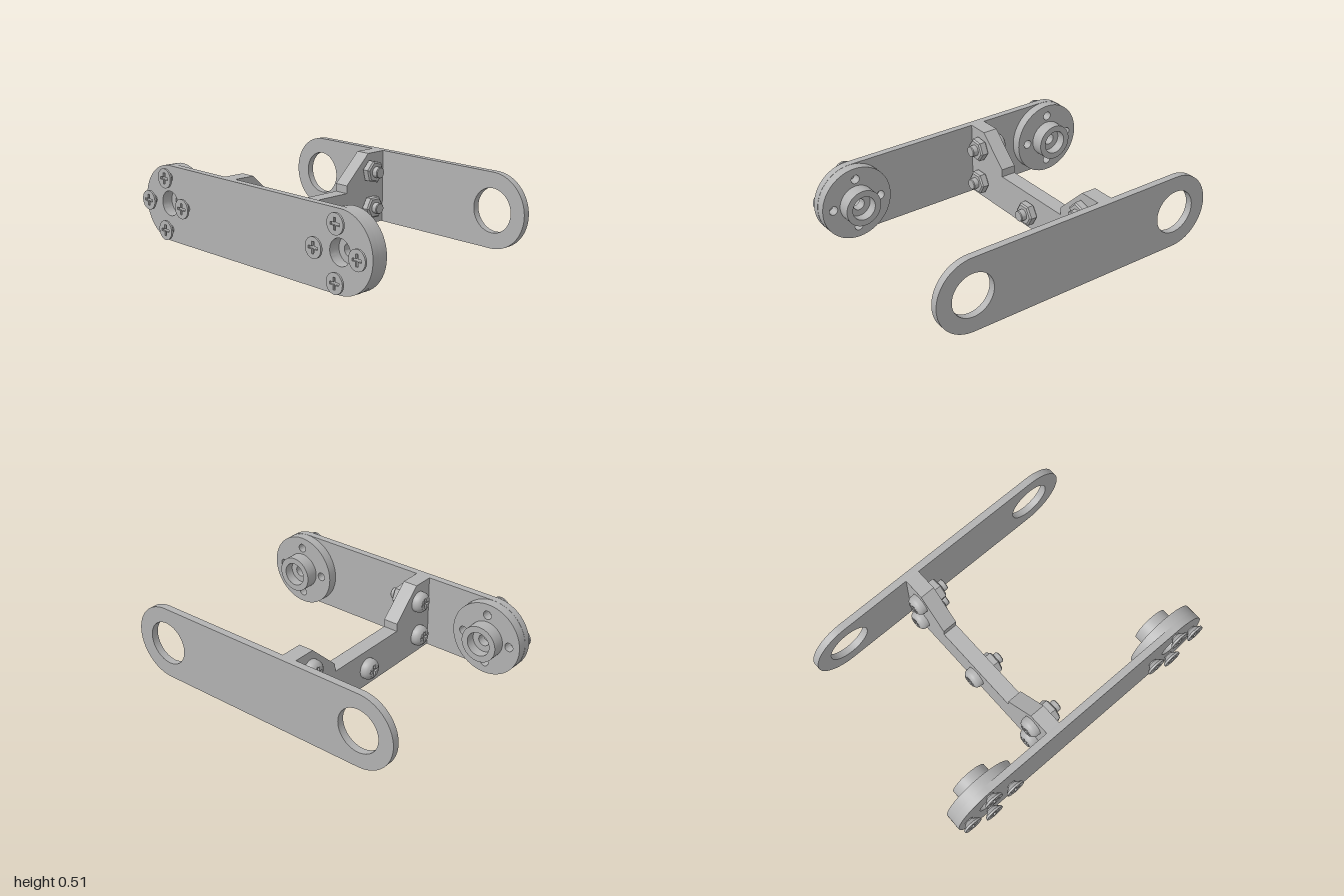
import * as THREE from 'three';
import { toCreasedNormals } from 'three/addons/utils/BufferGeometryUtils.js';

const R = 0.245;      // end radius of the plates
const CX = 0.755;     // distance of the plate ends from the middle
const WEB_X = -0.22;  // centre of the connecting web
const steel = new THREE.MeshStandardMaterial({ color: 0xb2b2b2 });
steel.name = 'steel grey';

function mesh(name, geometry, parent) {
  const m = new THREE.Mesh(toCreasedNormals(geometry, 0.6), steel);
  m.name = name;
  parent.add(m);
  return m;
}

function circle(x, y, r, Type = THREE.Path) {
  return new Type().absarc(x, y, r, 0, Math.PI * 2, false);
}

// Flat outline with holes, spanning z0 to z1
function slab(shape, holes, z0, z1) {
  shape.holes.push(...holes);
  return new THREE.ExtrudeGeometry(shape, { depth: z1 - z0, bevelEnabled: false, curveSegments: 24 })
    .translate(0, 0, z0);
}

// Turned part about the z axis, profile as [radius, z] pairs
function turned(profile, segments = 32) {
  const pts = profile.map(([r, z]) => new THREE.Vector2(r, z));
  return new THREE.LatheGeometry(pts, segments).rotateX(Math.PI / 2);
}

function stadium() {
  const s = new THREE.Shape();
  s.absarc(CX, 0, R, -Math.PI / 2, Math.PI / 2, false);
  s.absarc(-CX, 0, R, Math.PI / 2, Math.PI * 1.5, false);
  s.closePath();
  return s;
}

// Plus-shaped driver recess
function cross(l, w) {
  const p = [];
  for (let i = 0; i < 4; i++) {
    for (const [x, y] of [[l, -w], [l, w], [w, w]]) {
      p.push(new THREE.Vector2(x, y).rotateAround(new THREE.Vector2(), i * Math.PI / 2));
    }
  }
  return new THREE.Path(p);
}

// Four points around a hub
const ring = [0, 1, 2, 3].map(i => [
  0.168 * Math.round(Math.cos(i * Math.PI / 2)),
  0.168 * Math.round(Math.sin(i * Math.PI / 2)),
]);

// Countersunk screw standing proud of the front plate
function hubScrew(x, y) {
  const g = new THREE.Group();
  g.name = 'hubScrew';
  g.position.set(x, y, 0);
  mesh('screwBody', turned([[0, 0.626], [0.029, 0.626], [0.029, 0.678], [0.063, 0.703], [0, 0.703]]), g);
  mesh('screwFace', slab(circle(0, 0, 0.063, THREE.Shape), [cross(0.036, 0.0085)], 0.703, 0.716), g);
  return g;
}

// Round flanged hub with boss and stepped bore
function hub(x) {
  const g = new THREE.Group();
  g.name = 'hub';
  g.position.x = x;
  const holes = ring.map(([a, b]) => circle(a, b, 0.029));
  mesh('flange', slab(circle(0, 0, R - 0.001, THREE.Shape), [circle(0, 0, 0.08), ...holes], 0.562, 0.626), g);
  mesh('boss', slab(circle(0, 0, 0.122, THREE.Shape), [circle(0, 0, 0.08)], 0.475, 0.564), g);
  mesh('boreStep', slab(circle(0, 0, 0.081, THREE.Shape), [circle(0, 0, 0.038)], 0.54, 0.6), g);
  ring.forEach(([a, b]) => g.add(hubScrew(a, b)));
  return g;
}

// Pan-head bolt through the web with a hex nut on the left side
function webBolt(y, z, turn) {
  const g = new THREE.Group();
  g.name = 'webBolt';
  g.position.set(WEB_X, y, z);
  g.rotation.y = -Math.PI / 2;
  mesh('boltHead', turned([[0, 0.048], [0.068, 0.048], [0.068, 0.075], [0.064, 0.088],
    [0.056, 0.099], [0.042, 0.108], [0.042, 0.094], [0, 0.094]]), g);
  mesh('boltFace', slab(circle(0, 0, 0.042, THREE.Shape), [cross(0.036, 0.0085)], 0.094, 0.109), g);
  mesh('boltShank', turned([[0, -0.146], [0.033, -0.146], [0.037, -0.141], [0.037, 0.05]]), g);
  const nut = mesh('nut', turned([[0, -0.107], [0.066, -0.107], [0.078, -0.098], [0.078, -0.058],
    [0.066, -0.049], [0, -0.049]], 6), g);
  nut.rotation.z = Math.PI / 6 + turn;
  return g;
}

export function createModel() {
  const model = new THREE.Group();
  model.name = 'bracketFrame';
  const body = new THREE.Group();
  body.name = 'frame';
  body.position.y = 0.253;
  body.rotation.z = -0.0106; // slight lean of the whole frame
  model.add(body);

  // End plates
  const ends = [-CX, CX];
  mesh('frontPlate', slab(stadium(), ends.map(x => circle(x, 0, 0.08)), 0.625, 0.672), body);
  mesh('backPlate', slab(stadium(), ends.map(x => circle(x, 0, 0.143)), -0.718, -0.671), body);

  // Hubs behind the front plate
  ends.forEach(x => body.add(hub(x)));

  // Notched web joining the plates, drawn as [z, y]
  const outline = [[0.626, -0.242], [0.626, 0.245], [0.485, 0.245], [0.285, 0.055], [0.285, 0.003],
    [-0.325, 0.003], [-0.325, 0.055], [-0.525, 0.245], [-0.672, 0.245], [-0.672, -0.242]];
  const web = new THREE.Shape(outline.map(([z, y]) => new THREE.Vector2(-z, y)));
  const webMesh = mesh('web', slab(web, [], -0.05, 0.05).rotateY(Math.PI / 2), body);
  webMesh.position.x = WEB_X;

  // Web fasteners
  for (const [y, z, turn] of [[-0.12, 0.508, 0], [0.124, 0.508, 0.1], [-0.12, -0.018, 0],
    [-0.12, -0.545, 0], [0.124, -0.545, 0.25]]) {
    body.add(webBolt(y, z, turn));
  }
  return model;
}
